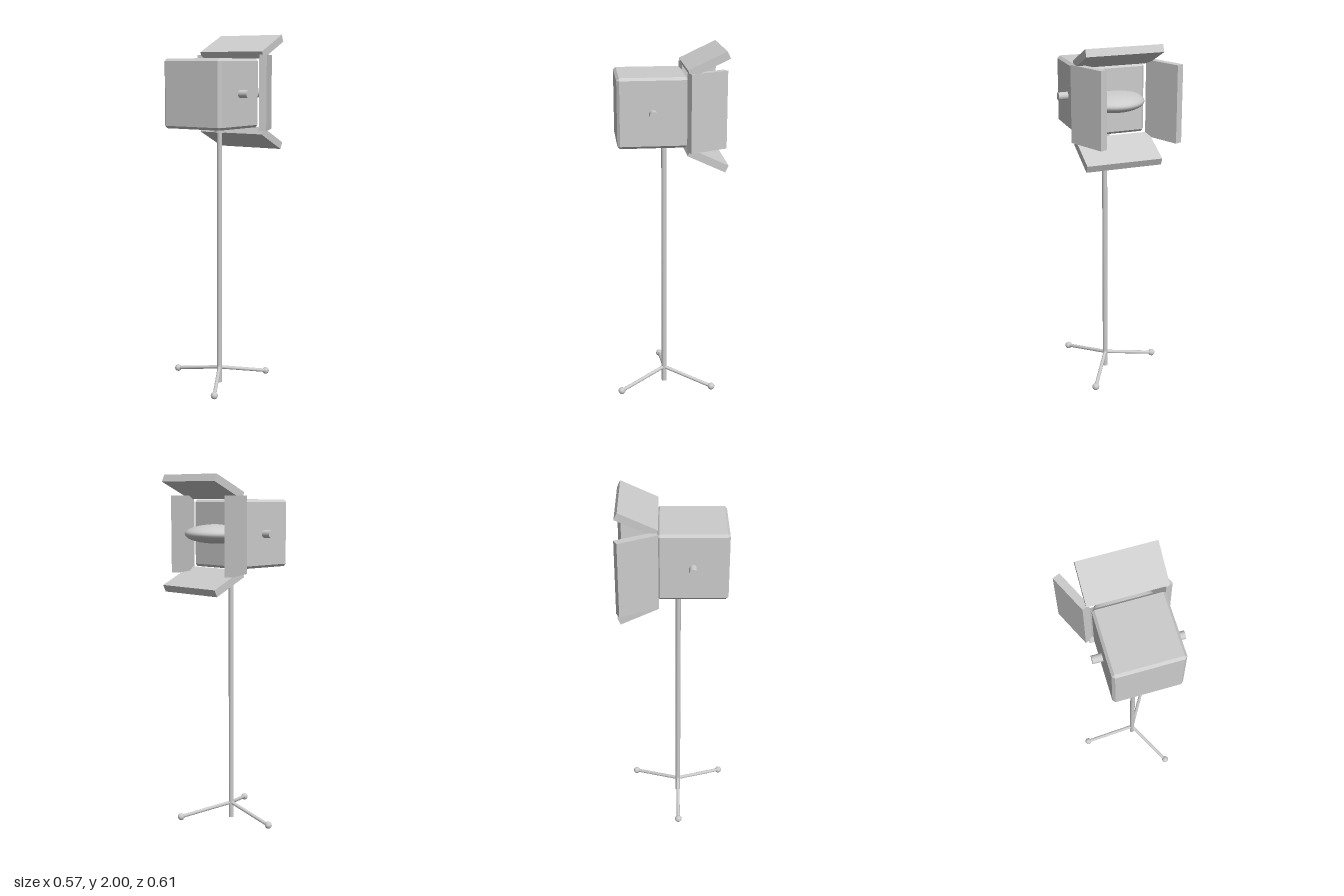
import * as THREE from 'three';
import { ConvexGeometry } from 'three/addons/geometries/ConvexGeometry.js';

const CX = 0.042, HEAD_Y = 1.677, HEAD_Z = 0.098, POLE_Z = 0.022;
const BACK_Z = HEAD_Z - 0.189;

// Box with cut edges and corners
function chamferBox(size, cut) {
  const h = size / 2, i = h - cut, points = [];
  for (const a of [-1, 1]) for (const b of [-1, 1]) for (const c of [-1, 1]) {
    points.push(
      new THREE.Vector3(a * h, b * i, c * i),
      new THREE.Vector3(a * i, b * h, c * i),
      new THREE.Vector3(a * i, b * i, c * h));
  }
  return new ConvexGeometry(points);
}

export function createModel() {
  const group = new THREE.Group();
  const grey = new THREE.MeshStandardMaterial({ color: 0xcccccc });
  grey.name = 'light grey';

  const add = (name, geometry, x, y, z) => {
    const mesh = new THREE.Mesh(geometry, grey);
    mesh.name = name;
    mesh.position.set(x, y, z);
    group.add(mesh);
    return mesh;
  };

  // Rod between two points
  const rod = (name, a, b, radius) => {
    const dir = b.clone().sub(a);
    const mid = a.clone().add(b).multiplyScalar(0.5);
    const mesh = add(name, new THREE.CylinderGeometry(radius, radius, dir.length(), 16), mid.x, mid.y, mid.z);
    mesh.quaternion.setFromUnitVectors(new THREE.Vector3(0, 1, 0), dir.normalize());
    return mesh;
  };

  // Lamp housing and flattened lens
  add('lampHousing', chamferBox(0.378, 0.014), CX, HEAD_Y, HEAD_Z);
  add('lens', new THREE.SphereGeometry(0.178, 32, 20), CX, HEAD_Y, BACK_Z).scale.y = 0.3;

  // Tilt knobs on both sides
  for (const s of [-1, 1]) {
    rod(s < 0 ? 'rightKnob' : 'leftKnob',
      new THREE.Vector3(CX + s * 0.17, HEAD_Y, 0.097),
      new THREE.Vector3(CX + s * 0.243, HEAD_Y, 0.097), 0.022);
  }

  // Barn doors: top and bottom flare out, the side pair swing the same way
  const tilt = THREE.MathUtils.degToRad(25);
  const doorZ = -0.195, length = 0.226, thick = 0.042, span = 0.422;
  for (const s of [-1, 1]) {
    const flat = add(s > 0 ? 'topBarnDoor' : 'bottomBarnDoor',
      new THREE.BoxGeometry(span, thick, length), CX, HEAD_Y + s * 0.257, doorZ);
    flat.rotation.x = s * tilt;
    const side = add(s > 0 ? 'leftBarnDoor' : 'rightBarnDoor',
      new THREE.BoxGeometry(thick, span, length), CX + s * 0.212 - 0.048, HEAD_Y, doorZ);
    side.rotation.y = tilt;
  }

  // Stand pole and collar
  rod('pole', new THREE.Vector3(CX, 0, POLE_Z), new THREE.Vector3(CX, 1.47, POLE_Z), 0.0145);
  rod('collar', new THREE.Vector3(CX, 1.455, POLE_Z), new THREE.Vector3(CX, 1.5, POLE_Z), 0.028);

  // Tripod legs with ball feet
  for (let i = 0; i < 3; i++) {
    const a = Math.PI + i * Math.PI * 2 / 3;
    const foot = new THREE.Vector3(CX + 0.304 * Math.cos(a), 0.026, POLE_Z + 0.304 * Math.sin(a));
    rod('leg', new THREE.Vector3(CX, 0.09, POLE_Z), foot, 0.01);
    add('foot', new THREE.SphereGeometry(0.02, 16, 12), foot.x, foot.y, foot.z);
  }

  return group;
}
